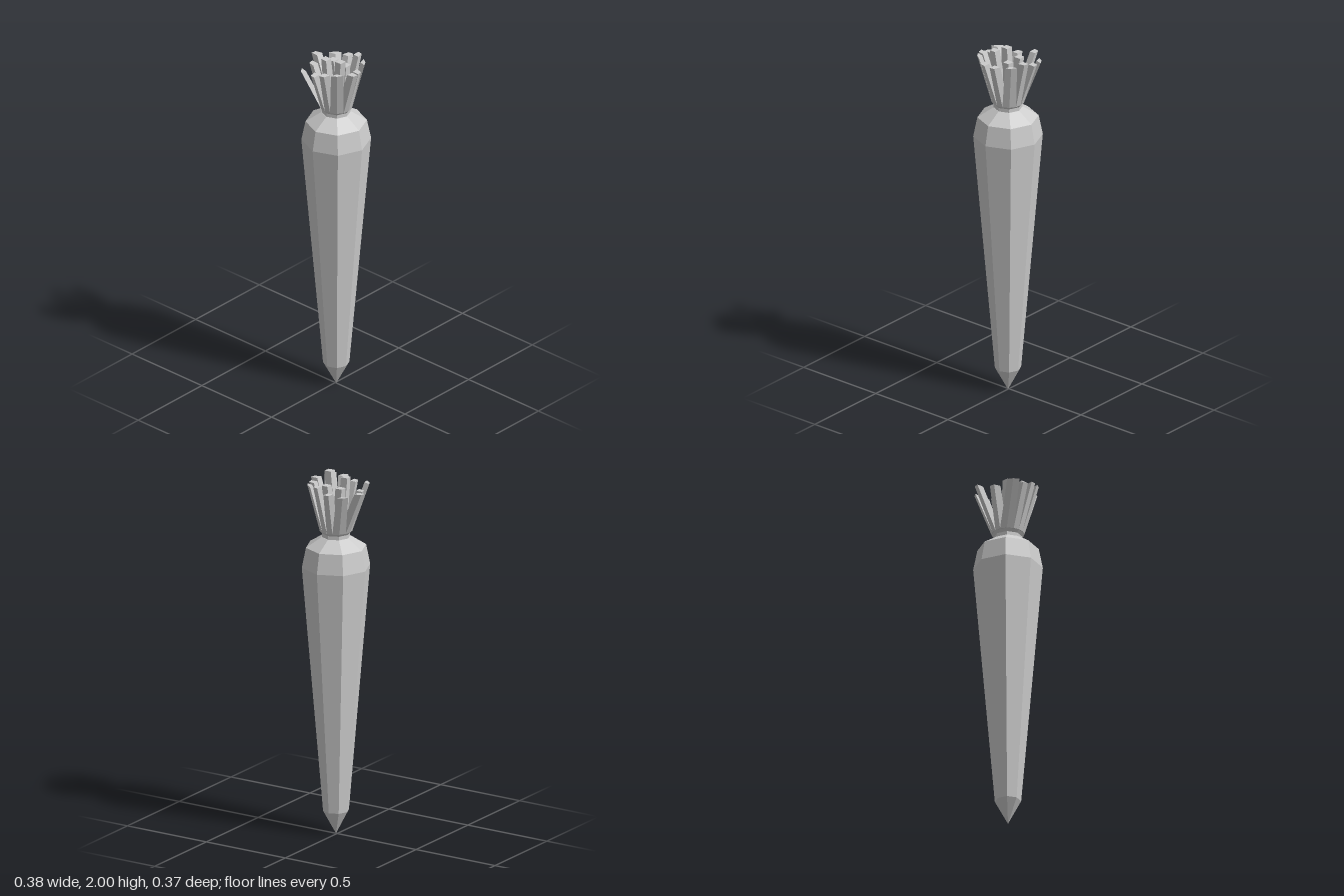
import * as THREE from 'three';

const material = new THREE.MeshStandardMaterial({ color: 0xcccccc, flatShading: true });
const CENTRE_X = 0.007;

// Eight-sided turned part from [radius, height] pairs, bottom to top
function turned(name, profile) {
  const points = profile.map(([r, y]) => new THREE.Vector2(r, y));
  const mesh = new THREE.Mesh(new THREE.LatheGeometry(points, 8), material);
  mesh.name = name;
  mesh.position.x = CENTRE_X;
  return mesh;
}

// Corner of the 4 x 4 stem grid, rounded to fit the crown
const CROWN_RADIUS = 0.088;
const CROWN_Y = 1.69;
function gridCorner(i, j) {
  const u = i / 2 - 1, v = j / 2 - 1;
  return [
    CENTRE_X + CROWN_RADIUS * u * Math.sqrt(1 - v * v / 2),
    CROWN_RADIUS * v * Math.sqrt(1 - u * u / 2),
  ];
}

// Tip centre [x, y, z] of each stem, by row from back to front
const TIPS = [
  [[-0.11, 1.92, -0.12], [-0.035, 1.93, -0.14], [0.04, 1.96, -0.135], [0.107, 1.95, -0.105]],
  [[-0.167, 1.93, -0.037], [-0.045, 1.94, -0.035], [0.045, 1.94, -0.033], [0.14, 1.94, -0.02]],
  [[-0.12, 1.92, 0.042], [-0.03, 1.98, 0.04], [0.072, 2.0, 0.038], [0.156, 1.95, 0.035]],
  [[-0.09, 1.93, 0.156], [-0.015, 1.93, 0.146], [0.05, 1.95, 0.14], [0.114, 1.96, 0.11]],
];

// Stem: a box whose foot fills one grid cell and whose top leans out to its tip
function stem(col, row) {
  const tip = TIPS[row][col];
  const cell = [[0, 0], [1, 0], [0, 1], [1, 1]].map(([a, b]) => gridCorner(col + a, row + b));
  const mid = [0, 1].map((k) => cell.reduce((sum, c) => sum + c[k], 0) / 4);
  const geometry = new THREE.BoxGeometry(1, 1, 1);
  const pos = geometry.attributes.position;
  for (let n = 0; n < pos.count; n++) {
    const [x, z] = gridCorner(col + (pos.getX(n) > 0 ? 1 : 0), row + (pos.getZ(n) > 0 ? 1 : 0));
    if (pos.getY(n) < 0) pos.setXYZ(n, x, CROWN_Y, z);
    else pos.setXYZ(n, tip[0] + 0.9 * (x - mid[0]), tip[1], tip[2] + 0.9 * (z - mid[1]));
  }
  geometry.computeVertexNormals();
  const mesh = new THREE.Mesh(geometry, material);
  mesh.name = `stem${row * 4 + col + 1}`;
  return mesh;
}

export function createModel() {
  const model = new THREE.Group();
  model.name = 'carrot';

  // Tapered root with pointed tip and bevelled shoulder
  model.add(turned('root', [[0, 0], [0.07, 0.13], [0.185, 1.49], [0.163, 1.6], [0.078, 1.655], [0, 1.655]]));

  // Short collar that carries the stems
  model.add(turned('crown', [[0.076, 1.65], [0.076, 1.675], [CROWN_RADIUS, CROWN_Y], [0, CROWN_Y]]));

  // Cut leaf stems
  const stems = new THREE.Group();
  stems.name = 'stems';
  for (let row = 0; row < 4; row++) {
    for (let col = 0; col < 4; col++) stems.add(stem(col, row));
  }
  model.add(stems);
  return model;
}
